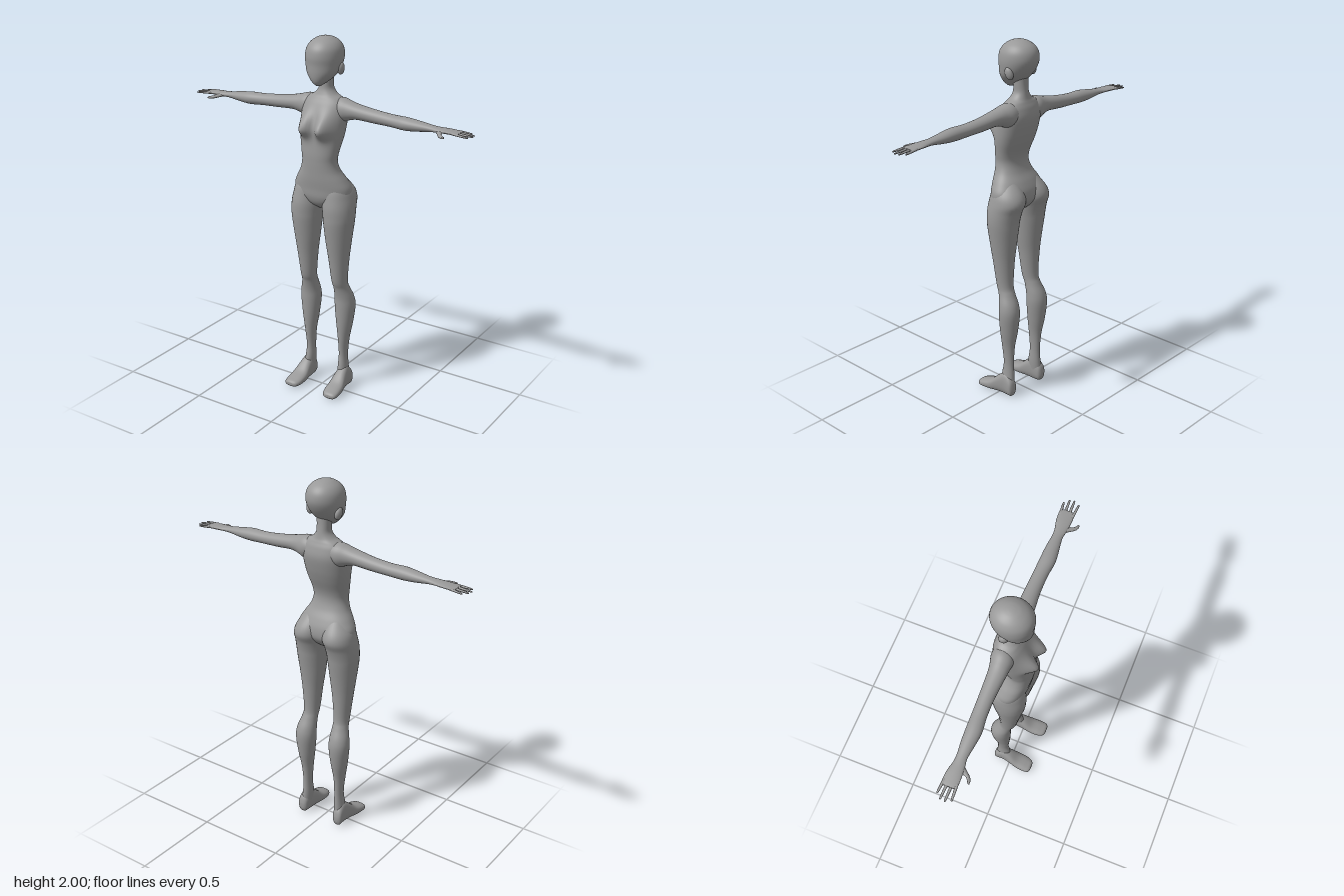
import * as THREE from 'three';

const skin = new THREE.MeshStandardMaterial({ color: 0x999999 });
skin.name = 'plain grey';

// Smooth interpolation of one value between neighbouring sections
function spline(a, b, c, d, t) {
  return b + 0.5 * t * (c - a + t * (2 * a - 5 * b + 4 * c - d + t * (3 * (b - c) + d - a)));
}

// Closed loft. Rows are [position along axis, u min, u max, v min, v max],
// where (u, v) is (x, z) for axis y, (y, z) for axis x and (x, y) for axis z.
function loft(name, axis, rows, { side = 1, ring = 32, steps = 5, power = 2, warp } = {}) {
  const place = {
    x: (a, u, v) => new THREE.Vector3(a, u, v),
    y: (a, u, v) => new THREE.Vector3(u, a, v),
    z: (a, u, v) => new THREE.Vector3(u, v, a),
  }[axis];
  const points = [];
  const add = (a, u, v) => {
    const p = place(a, u, v);
    if (warp) warp(p);
    points.push(p.x * side, p.y, p.z);
  };
  const row = (i) => rows[Math.min(Math.max(i, 0), rows.length - 1)];
  const levels = (rows.length - 1) * steps + 1;
  const bend = (n) => Math.sign(n) * Math.pow(Math.abs(n), 2 / power);
  for (let k = 0; k < levels; k++) {
    const i = Math.min(Math.floor(k / steps), rows.length - 2);
    const t = k / steps - i;
    const [a, u0, u1, v0, v1] = row(i).map((_, c) =>
      spline(row(i - 1)[c], row(i)[c], row(i + 1)[c], row(i + 2)[c], t));
    for (let j = 0; j < ring; j++) {
      const angle = (j / ring) * Math.PI * 2;
      add(a, (u0 + u1) / 2 + bend(Math.cos(angle)) * (u1 - u0) / 2,
        (v0 + v1) / 2 + bend(Math.sin(angle)) * (v1 - v0) / 2);
    }
  }
  // Centre points of the two end caps
  for (const r of [rows[0], rows[rows.length - 1]]) add(r[0], (r[1] + r[2]) / 2, (r[3] + r[4]) / 2);
  const index = [];
  const flip = (axis === 'y') !== (side < 0);
  const face = (a, b, c) => (flip ? index.push(a, c, b) : index.push(a, b, c));
  const start = levels * ring;
  for (let j = 0; j < ring; j++) {
    const n = (j + 1) % ring;
    for (let k = 0; k < levels - 1; k++) {
      const lo = k * ring, hi = lo + ring;
      face(lo + j, lo + n, hi + n);
      face(lo + j, hi + n, hi + j);
    }
    face(start, n, j);
    face(start + 1, start - ring + j, start - ring + n);
  }
  const geometry = new THREE.BufferGeometry();
  geometry.setAttribute('position', new THREE.Float32BufferAttribute(points, 3));
  geometry.setIndex(index);
  geometry.computeVertexNormals();
  const mesh = new THREE.Mesh(geometry, skin);
  mesh.name = name;
  return mesh;
}

// Rows symmetric about x = 0: [y, half width, z back, z front]
const symmetric = (rows) => rows.map(([y, w, b, f]) => [y, -w, w, b, f]);

// Soft swelling of the chest on the front of the torso
function chest(p) {
  const front = THREE.MathUtils.smoothstep(p.z, -0.02, 0.05);
  const sy = p.y < 1.53 ? 0.045 : 0.065;
  const dx = (Math.abs(p.x) - 0.055) / 0.042, dy = (p.y - 1.53) / sy;
  p.z += 0.062 * front * Math.exp(-dx * dx - dy * dy);
}

function createArm(side) {
  const arm = new THREE.Group();
  arm.name = side > 0 ? 'leftArm' : 'rightArm';
  arm.add(loft('armAndPalm', 'x', [
    [0.04, 1.60, 1.675, -0.09, 0.0],
    [0.10, 1.562, 1.688, -0.098, 0.02],
    [0.15, 1.575, 1.677, -0.086, 0.016],
    [0.20, 1.585, 1.665, -0.079, 0.012],
    [0.30, 1.580, 1.650, -0.075, 0.003],
    [0.40, 1.577, 1.641, -0.072, 0.003],
    [0.48, 1.573, 1.640, -0.070, 0.011],
    [0.55, 1.578, 1.632, -0.067, 0.004],
    [0.62, 1.587, 1.622, -0.060, -0.005],
    [0.66, 1.590, 1.618, -0.062, 0.0],
    [0.71, 1.593, 1.615, -0.073, 0.005],
    [0.76, 1.595, 1.610, -0.076, 0.006],
    [0.78, 1.598, 1.607, -0.070, 0.0],
  ], { side }));
  // Fingers: [z at knuckle, z at tip, x at tip]
  const fingers = [[-0.066, -0.074, 0.825], [-0.045, -0.050, 0.848], [-0.023, -0.025, 0.852], [-0.002, 0.004, 0.838]];
  for (const [z0, z1, tip] of fingers) {
    const rows = [[0, 0.008], [0.5, 0.007], [0.92, 0.005], [1, 0.002]].map(([t, r]) => {
      const x = 0.75 + (tip - 0.75) * t, y = 1.603 - 0.006 * t, z = z0 + (z1 - z0) * t;
      return [x, y - r * 0.8, y + r * 0.8, z - r, z + r];
    });
    arm.add(loft('finger', 'x', rows, { side, ring: 10, steps: 3 }));
  }
  arm.add(loft('thumb', 'z', [
    [-0.025, 0.640, 0.695, 1.594, 1.612],
    [0.005, 0.668, 0.700, 1.589, 1.607],
    [0.025, 0.684, 0.708, 1.586, 1.602],
    [0.040, 0.698, 0.730, 1.584, 1.597],
    [0.048, 0.713, 0.731, 1.586, 1.593],
  ], { side, ring: 12, steps: 3 }));
  return arm;
}

function createLeg(side) {
  const leg = new THREE.Group();
  leg.name = side > 0 ? 'leftLeg' : 'rightLeg';
  // Rows: [y, x inner, x outer, z back, z front]
  leg.add(loft('thighAndCalf', 'y', [
    [0.05, 0.088, 0.148, -0.092, -0.01],
    [0.12, 0.083, 0.138, -0.088, -0.008],
    [0.20, 0.085, 0.132, -0.084, -0.02],
    [0.30, 0.080, 0.141, -0.090, -0.012],
    [0.40, 0.066, 0.158, -0.108, -0.005],
    [0.50, 0.055, 0.170, -0.118, -0.002],
    [0.56, 0.056, 0.165, -0.108, 0.0],
    [0.62, 0.060, 0.148, -0.080, 0.012],
    [0.67, 0.057, 0.145, -0.066, 0.030],
    [0.80, 0.044, 0.158, -0.070, 0.050],
    [0.90, 0.030, 0.171, -0.080, 0.066],
    [1.00, 0.019, 0.184, -0.094, 0.080],
    [1.05, 0.014, 0.188, -0.101, 0.083],
    [1.10, 0.008, 0.187, -0.114, 0.083],
    [1.15, 0.004, 0.181, -0.134, 0.076],
    [1.20, 0.006, 0.165, -0.118, 0.066],
    [1.26, 0.025, 0.120, -0.068, 0.045],
  ], { side }));
  // Rows: [z, x inner, x outer, y bottom, y top]
  leg.add(loft('foot', 'z', [
    [-0.101, 0.108, 0.132, 0.03, 0.06],
    [-0.088, 0.092, 0.149, 0.004, 0.10],
    [-0.045, 0.085, 0.150, 0.001, 0.135],
    [0.0, 0.080, 0.158, 0.002, 0.112],
    [0.05, 0.075, 0.169, 0.002, 0.070],
    [0.10, 0.078, 0.172, 0.001, 0.050],
    [0.13, 0.090, 0.167, 0.004, 0.039],
    [0.14, 0.108, 0.150, 0.012, 0.029],
  ], { side, power: 2.4 }));
  return leg;
}

export function createModel() {
  const model = new THREE.Group();
  model.name = 'figure';

  // Torso from crotch to neck
  model.add(loft('torso', 'y', symmetric([
    [1.08, 0.02, -0.04, 0.02],
    [1.11, 0.09, -0.08, 0.058],
    [1.15, 0.160, -0.108, 0.076],
    [1.20, 0.169, -0.108, 0.081],
    [1.25, 0.145, -0.088, 0.087],
    [1.30, 0.114, -0.060, 0.090],
    [1.35, 0.100, -0.046, 0.092],
    [1.40, 0.106, -0.052, 0.092],
    [1.47, 0.120, -0.080, 0.086],
    [1.53, 0.127, -0.100, 0.076],
    [1.60, 0.130, -0.114, 0.062],
    [1.65, 0.122, -0.106, 0.042],
    [1.68, 0.098, -0.094, 0.024],
    [1.70, 0.062, -0.086, 0.012],
    [1.73, 0.039, -0.080, 0.002],
    [1.77, 0.037, -0.076, 0.0],
    [1.82, 0.040, -0.075, 0.0],
  ]), { ring: 64, steps: 6, power: 2.2, warp: chest }));

  // Bald head with tapered chin
  model.add(loft('head', 'y', symmetric([
    [1.752, 0.014, 0.015, 0.052],
    [1.768, 0.036, -0.02, 0.068],
    [1.790, 0.060, -0.058, 0.077],
    [1.820, 0.083, -0.090, 0.081],
    [1.860, 0.095, -0.119, 0.082],
    [1.900, 0.099, -0.134, 0.085],
    [1.940, 0.093, -0.130, 0.077],
    [1.970, 0.074, -0.110, 0.054],
    [1.990, 0.045, -0.078, 0.022],
    [1.998, 0.021, -0.050, -0.006],
    [2.000, 0.004, -0.032, -0.024],
  ]), { ring: 48 }));

  for (const side of [1, -1]) {
    const ear = new THREE.Mesh(new THREE.SphereGeometry(1, 20, 14), skin);
    ear.name = side > 0 ? 'leftEar' : 'rightEar';
    ear.scale.set(0.018, 0.034, 0.024);
    ear.position.set(side * 0.088, 1.838, -0.038);
    ear.rotation.set(0.25, 0, side * -0.15);
    model.add(ear, createArm(side), createLeg(side));
  }
  return model;
}
